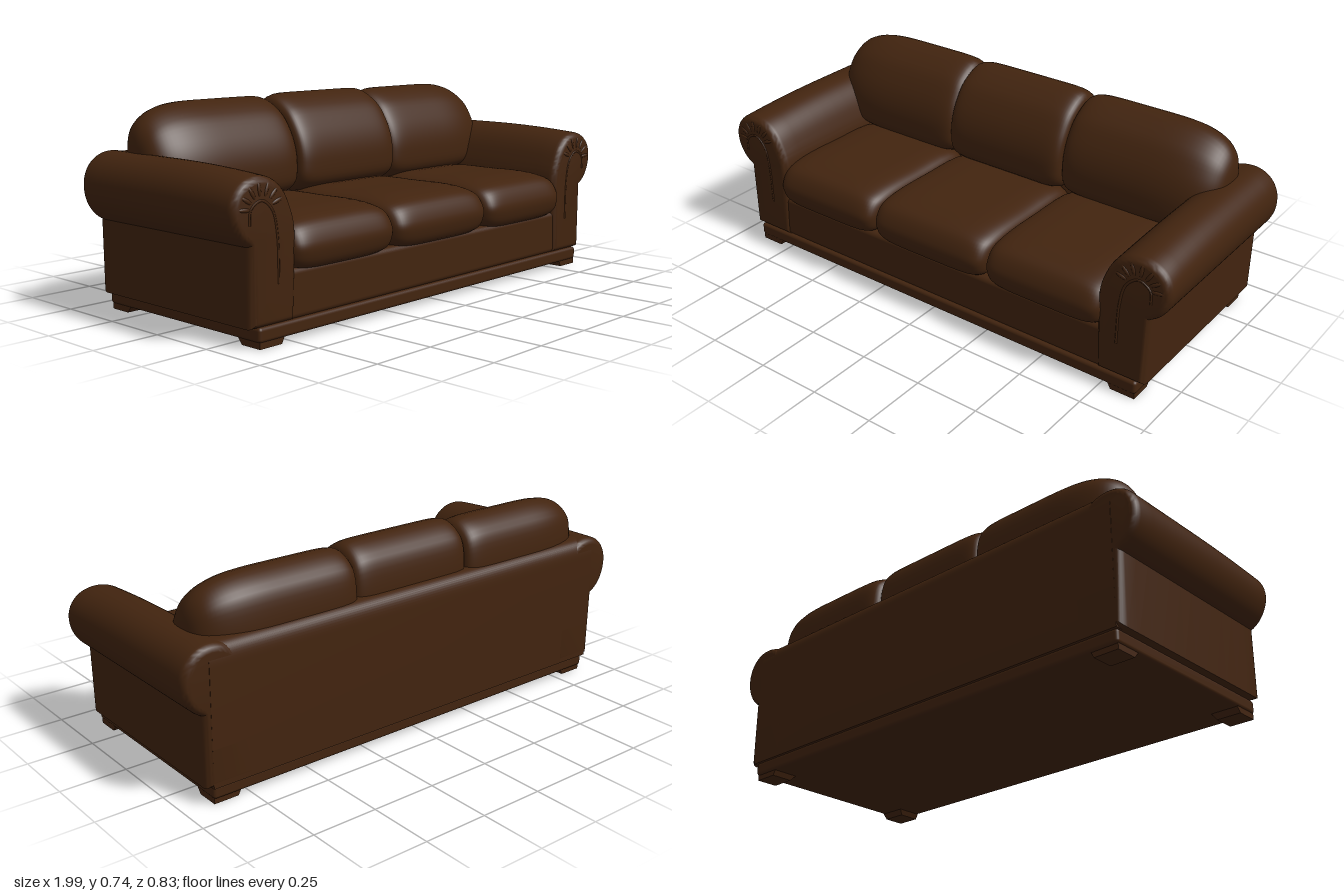
import * as THREE from 'three';
import { mergeVertices, toCreasedNormals } from 'three/addons/utils/BufferGeometryUtils.js';
import { RoundedBoxGeometry } from 'three/addons/geometries/RoundedBoxGeometry.js';
import { ParametricGeometry } from 'three/addons/geometries/ParametricGeometry.js';

export function createModel() {
  const sofa = new THREE.Group();
  const leather = new THREE.MeshStandardMaterial({ color: 0x42240f });
  leather.name = 'brownLeather';

  function add(name, geometry, x = 0, y = 0, z = 0) {
    const mesh = new THREE.Mesh(geometry, leather);
    mesh.name = name;
    mesh.position.set(x, y, z);
    sofa.add(mesh);
    return mesh;
  }

  // Cushion: a closed (z, y) profile lofted along x, rounded off at each end.
  // Each end has its own pair of exponents [z, y]; higher is squarer.
  function cushion(profile, centre, x0, x1, endA, endB, dz = 0, dy = 0) {
    const curve = new THREE.CatmullRomCurve3(
      profile.map(([z, y]) => new THREE.Vector3(0, y, z)), true);
    const [cz, cy] = centre;
    const p = new THREE.Vector3();
    const round = (t, n) => Math.pow(Math.max(0, 1 - Math.pow(Math.abs(t), n)), 1 / n);
    const geo = new ParametricGeometry((u, v, out) => {
      const t = Math.sin((v - 0.5) * Math.PI);
      const [nz, ny] = t < 0 ? endA : endB;
      curve.getPoint(u % 1, p);
      out.set((x0 + x1) / 2 + t * (x1 - x0) / 2,
        cy + dy + (p.y - cy) * round(t, ny),
        cz + dz + (p.z - cz) * round(t, nz));
    }, 48, 44);
    geo.deleteAttribute('normal');
    geo.deleteAttribute('uv');
    const merged = mergeVertices(geo, 1e-5);
    merged.computeVertexNormals();
    return merged;
  }

  // Plinth, lower body and seat deck
  add('plinth', new RoundedBoxGeometry(1.79, 0.05, 0.79, 3, 0.012), 0, 0.045, -0.01);
  add('seatDeck', new RoundedBoxGeometry(1.6, 0.17, 0.76, 4, 0.02), 0, 0.15, -0.005);

  // Tapered corner feet
  for (const sx of [-1, 1]) {
    for (const [z, sz] of [[0.325, 1], [-0.34, -1]]) {
      const foot = new THREE.BoxGeometry(0.11, 0.03, 0.11);
      const pos = foot.attributes.position;
      for (let i = 0; i < pos.count; i++) {
        if (pos.getY(i) > 0) continue;
        if (pos.getX(i) * sx < 0) pos.setX(i, pos.getX(i) + sx * 0.015);
        if (pos.getZ(i) * sz < 0) pos.setZ(i, pos.getZ(i) + sz * 0.025);
      }
      foot.computeVertexNormals();
      add('foot', foot, sx * 0.835, 0.015, z);
    }
  }

  // Back frame with a rolled top edge
  const backShape = new THREE.Shape();
  backShape.moveTo(0.17, 0.066);
  backShape.lineTo(0.414, 0.066);
  backShape.lineTo(0.417, 0.49);
  backShape.bezierCurveTo(0.417, 0.55, 0.4, 0.568, 0.35, 0.568);
  backShape.lineTo(0.24, 0.568);
  backShape.quadraticCurveTo(0.19, 0.56, 0.17, 0.5);
  const backGeo = new THREE.ExtrudeGeometry(backShape,
    { depth: 1.8, bevelEnabled: false, curveSegments: 14 });
  backGeo.rotateY(Math.PI / 2).translate(-0.9, 0, 0);
  add('backFrame', toCreasedNormals(backGeo, 0.7));

  // Rolled arms, dipping gently towards the front
  for (const s of [-1, 1]) {
    const side = s > 0 ? 'left' : 'right';
    const shape = new THREE.Shape();
    shape.moveTo(s * 0.735, 0.066);
    shape.lineTo(s * 0.922, 0.066);
    shape.lineTo(s * 0.925, 0.33);
    shape.bezierCurveTo(s * 0.97, 0.352, s * 0.997, 0.4, s * 0.997, 0.455);
    shape.bezierCurveTo(s * 0.997, 0.52, s * 0.95, 0.57, s * 0.885, 0.57);
    shape.bezierCurveTo(s * 0.82, 0.57, s * 0.775, 0.53, s * 0.75, 0.46);
    shape.bezierCurveTo(s * 0.735, 0.42, s * 0.725, 0.39, s * 0.725, 0.34);
    const geo = new THREE.ExtrudeGeometry(shape, {
      depth: 0.74, steps: 12, curveSegments: 14, bevelEnabled: true,
      bevelThickness: 0.03, bevelSize: 0.025, bevelOffset: -0.025, bevelSegments: 5,
    });
    geo.translate(0, 0, -0.385);
    const pos = geo.attributes.position;
    for (let i = 0; i < pos.count; i++) {
      const y = pos.getY(i);
      const f = Math.max(0, (pos.getZ(i) + 0.05) / 0.4);
      if (y > 0.4) pos.setY(i, y - (y - 0.4) * 0.1 * f * f);
    }
    add(side + 'Arm', toCreasedNormals(geo, 0.7));

    // Scroll seam and gathered pleats on the arm front
    const seam = new THREE.CatmullRomCurve3([
      [0.81, 0.2], [0.815, 0.36], [0.835, 0.44], [0.88, 0.475], [0.925, 0.45], [0.93, 0.4],
    ].map(([x, y]) => new THREE.Vector3(s * x, y, 0.383)));
    add(side + 'ArmSeam', new THREE.TubeGeometry(seam, 32, 0.005, 6));
    for (let i = 0; i < 7; i++) {
      const a = 0.1 + i * 0.45;
      const pleat = add(side + 'ArmPleat', new THREE.SphereGeometry(1, 10, 8),
        s * (0.88 + Math.cos(a) * 0.07), 0.445 + Math.sin(a) * 0.065, 0.382);
      pleat.scale.set(0.026, 0.008, 0.007);
      pleat.rotation.z = s * a;
    }
  }

  // Three seat cushions
  const seat = [[-0.2, 0.3], [-0.15, 0.385], [0.1, 0.405], [0.3, 0.4], [0.375, 0.375],
    [0.408, 0.32], [0.41, 0.28], [0.385, 0.23], [0.2, 0.215], [-0.15, 0.22]];
  const square = [10, 4.5];
  for (const [name, x0, x1] of [['rightSeatCushion', -0.755, -0.258],
    ['middleSeatCushion', -0.264, 0.264], ['leftSeatCushion', 0.258, 0.755]]) {
    add(name, cushion(seat, [0.1, 0.31], x0, x1, square, square));
  }

  // Three leaning back cushions, the outer two rounded at the arms
  const back = [[-0.385, 0.6], [-0.36, 0.69], [-0.27, 0.738], [-0.165, 0.69], [-0.11, 0.62],
    [-0.08, 0.55], [-0.07, 0.48], [-0.08, 0.41], [-0.15, 0.37], [-0.3, 0.38], [-0.375, 0.48]];
  const inner = [9, 9];
  const outer = [3, 3.2];
  const mid = [-0.23, 0.55];
  add('rightBackCushion', cushion(back, mid, -0.887, -0.255, outer, inner));
  add('middleBackCushion', cushion(back, mid, -0.264, 0.264, inner, inner, 0.013, 0.006));
  add('leftBackCushion', cushion(back, mid, 0.255, 0.887, inner, outer));

  return sofa;
}
